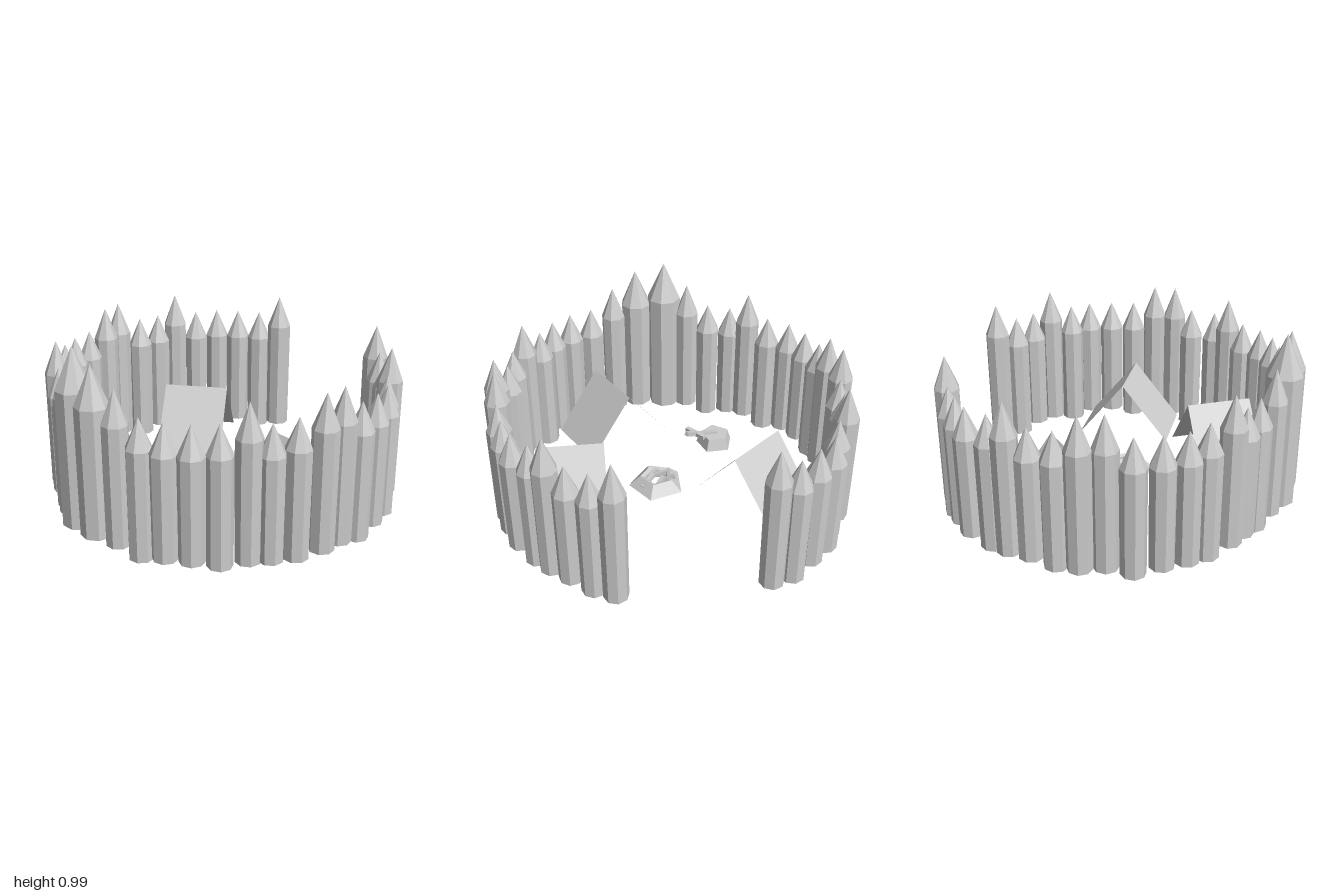
import * as THREE from 'three';

const mat = new THREE.MeshStandardMaterial({ color: 0xcccccc, flatShading: true, side: THREE.DoubleSide });

function add(parent, name, geo, x = 0, y = 0, z = 0) {
  const m = new THREE.Mesh(geo, mat);
  m.name = name;
  m.position.set(x, y, z);
  parent.add(m);
  return m;
}

// Box beam laid between two points
function beam(parent, name, a, b, w, d = w) {
  const p = new THREE.Vector3(...a), q = new THREE.Vector3(...b);
  const m = add(parent, name, new THREE.BoxGeometry(w, d, p.distanceTo(q)));
  m.position.copy(p).add(q).multiplyScalar(0.5);
  m.lookAt(q);
  return m;
}

// Sharpened log: open octagonal shaft with a pointed top
function post(parent, x, z, base, shoulder, tip, r, turn) {
  const profile = [[r * 0.96, base], [r, shoulder], [0, tip]].map(p => new THREE.Vector2(...p));
  add(parent, 'palisadePost', new THREE.LatheGeometry(profile, 8), x, 0, z).rotation.y = turn;
}

// Open tent: one sheet folded over a ridge along local x
function tent(parent, x, z, turn) {
  const L = 0.185, W = 0.265, low = 0.08, top = 0.41;
  const geo = new THREE.BufferGeometry();
  geo.setAttribute('position', new THREE.Float32BufferAttribute([
    -L, low, W, L, low, W, L, top, 0, -L, top, 0, L, low, -W, -L, low, -W], 3));
  geo.setIndex([0, 1, 2, 0, 2, 3, 3, 2, 4, 3, 4, 5]);
  const flat = geo.toNonIndexed();
  flat.computeVertexNormals();
  add(parent, 'tent', flat, x, 0, z).rotation.y = turn;
}

export function createModel() {
  const model = new THREE.Group();

  // Palisade: x, z and kind (0 short, 1 tall), in order from one gatepost to the other
  const wall = new THREE.Group();
  wall.name = 'palisade';
  model.add(wall);
  const left = [
    [-0.41, -0.88, 1], [-0.53, -0.82, 0], [-0.64, -0.74, 0], [-0.74, -0.65, 0], [-0.79, -0.52, 0],
    [-0.86, -0.41, 1], [-0.88, -0.29, 0], [-0.89, -0.16, 0], [-0.93, -0.03, 1], [-0.89, 0.09, 1],
    [-0.87, 0.22, 0], [-0.82, 0.35, 0], [-0.75, 0.46, 0], [-0.64, 0.54, 0], [-0.54, 0.64, 1],
    [-0.44, 0.69, 0], [-0.315, 0.74, 0], [-0.195, 0.80, 1]];
  const right = [
    [0.25, 0.81, 1], [0.385, 0.77, 0], [0.51, 0.72, 0], [0.615, 0.64, 0], [0.69, 0.53, 0],
    [0.78, 0.43, 1], [0.84, 0.34, 0], [0.865, 0.195, 0], [0.925, 0.08, 1], [0.92, -0.045, 1],
    [0.915, -0.18, 0], [0.89, -0.315, 0], [0.845, -0.445, 0], [0.76, -0.54, 0], [0.685, -0.65, 1],
    [0.59, -0.73, 0], [0.48, -0.80, 0], [0.375, -0.885, 1]];
  [...left, ...right].forEach(([x, z, tall], i) => {
    const base = i % 3 === 1 ? 0 : 0.03;
    post(wall, x, z, base, tall ? 0.67 : 0.58, tall ? 0.85 : 0.74, 0.069, i * 0.9);
  });
  // Two thicker logs opposite the gate
  post(wall, -0.06, 0.835, 0.03, 0.765, 0.985, 0.098, 0.5);
  post(wall, 0.11, 0.845, 0.04, 0.73, 0.94, 0.088, 0.3);

  // Tents
  tent(model, 0.56, -0.125, 0);
  tent(model, 0.29, 0.457, -1.077);
  tent(model, -0.44, -0.24, 0.698);

  // Fire pit: five-sided stone ring with leaning logs
  const fire = new THREE.Group();
  fire.name = 'firePit';
  fire.position.set(0.08, 0, -0.03);
  model.add(fire);
  const ring = [[0.07, 0.03], [0.16, 0.03], [0.095, 0.09], [0.07, 0.08], [0.07, 0.03]];
  add(fire, 'stoneRing', new THREE.LatheGeometry(ring.map(p => new THREE.Vector2(...p)), 5)).rotation.y = 0.3;
  for (let i = 0; i < 5; i++) {
    const a = i * Math.PI * 0.4 + 0.3, b = a + 1.3;
    beam(fire, 'fireLog', [0.075 * Math.cos(a), 0.035, 0.075 * Math.sin(a)],
      [0.065 * Math.cos(b), 0.1, 0.065 * Math.sin(b)], 0.022);
  }

  // Sword leaning out of a low rock
  const rock = new THREE.Group();
  rock.name = 'swordInRock';
  model.add(rock);
  add(rock, 'rock', new THREE.CylinderGeometry(0.085, 0.11, 0.07, 5), -0.31, 0.055, 0.335).rotation.y = 1.3;
  beam(rock, 'blade', [-0.35, 0.07, 0.37], [-0.185, 0.16, 0.25], 0.028, 0.012);
  beam(rock, 'handle', [-0.185, 0.16, 0.25], [-0.12, 0.195, 0.2], 0.025);
  beam(rock, 'crossguard', [-0.225, 0.16, 0.2], [-0.135, 0.16, 0.3], 0.025);

  return model;
}
